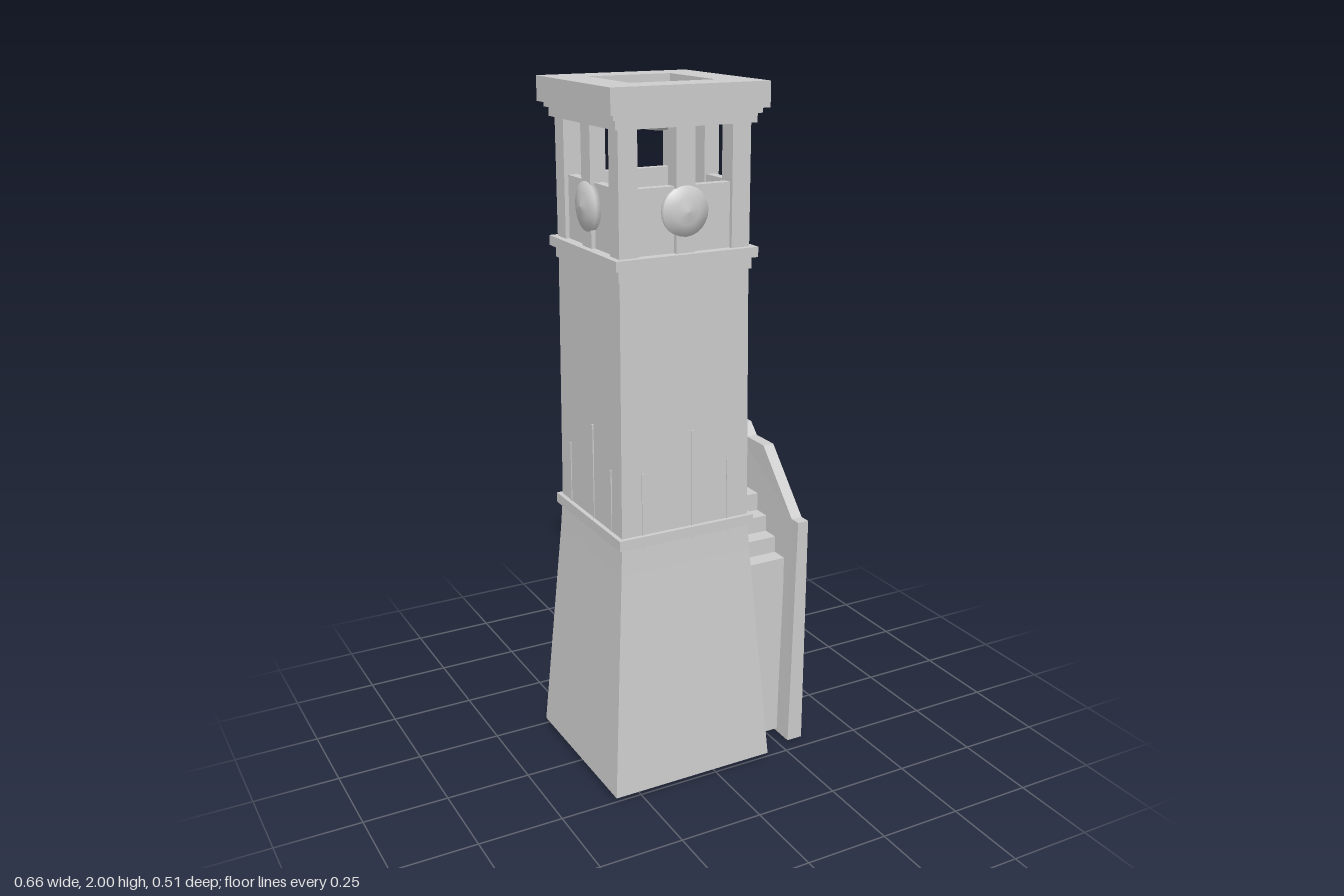
import * as THREE from 'three';

const stone = new THREE.MeshStandardMaterial({ color: 0xcccccc, side: THREE.DoubleSide });
stone.name = 'paleStone';

function add(parent, name, geometry) {
  const mesh = new THREE.Mesh(geometry, stone);
  mesh.name = name;
  parent.add(mesh);
  return mesh;
}

// Box given by its limits on each axis
function box(parent, name, x0, x1, y0, y1, z0, z1) {
  const g = new THREE.BoxGeometry(x1 - x0, y1 - y0, z1 - z0);
  g.translate((x0 + x1) / 2, (y0 + y1) / 2, (z0 + z1) / 2);
  return add(parent, name, g);
}

// Square section swept up a profile of [half width, height]
function squareLoft(profile) {
  const pts = profile.map(([h, y]) => new THREE.Vector2(h * Math.SQRT2, y));
  const g = new THREE.LatheGeometry(pts, 4, Math.PI / 4).toNonIndexed();
  g.computeVertexNormals();
  return g;
}

// Square slab with a square opening
function ring(parent, name, half, hole, y0, y1) {
  const square = (P, h) => {
    const p = new P();
    p.moveTo(-h, -h); p.lineTo(h, -h); p.lineTo(h, h); p.lineTo(-h, h); p.closePath();
    return p;
  };
  const s = square(THREE.Shape, half);
  s.holes.push(square(THREE.Path, hole));
  const g = new THREE.ExtrudeGeometry(s, { depth: y1 - y0, bevelEnabled: false });
  g.rotateX(-Math.PI / 2).translate(0, y0, 0);
  return add(parent, name, g);
}

function outline(points) {
  return new THREE.Shape(points.map(([x, y]) => new THREE.Vector2(x, y)));
}

function buildTower() {
  const tower = new THREE.Group();
  tower.name = 'tower';

  // Flared base and shaft, open underneath
  add(tower, 'shaft', squareLoft([[0.255, 0.015], [0.206, 0.68], [0.2, 0.78], [0.194, 1.54]]));
  const band = (name, h, y0, y1) => box(tower, name, -h, h, y0, y1, -h, h);
  ring(tower, 'lowerBand', 0.213, 0.19, 0.76, 0.79);
  band('upperBandFoot', 0.2, 1.505, 1.537);
  band('upperBand', 0.213, 1.537, 1.565);

  for (let i = 0; i < 4; i++) {
    const side = new THREE.Group();
    side.name = 'towerSide';
    side.rotation.y = i * Math.PI / 2;
    tower.add(side);

    // Thin ribs on the shaft
    for (const [x, y1] of [[-0.134, 0.97], [0.02, 1.07], [0.134, 0.97]])
      box(side, 'shaftRib', x - 0.004, x + 0.004, 0.7, y1, 0.19, 0.202);

    // Belfry posts and parapet
    box(side, 'cornerPost', -0.195, -0.14, 1.56, 1.9, 0.14, 0.195);
    box(side, 'middlePost', -0.028, 0.028, 1.56, 1.9, 0.15, 0.195);
    box(side, 'parapet', -0.145, 0.145, 1.56, 1.74, 0.155, 0.183);

    // Shallow domed disc
    const disc = new THREE.LatheGeometry(
      [[0, 0.175], [0.067, 0.175], [0.067, 0.197], [0.035, 0.206], [0, 0.213]]
        .map(([r, y]) => new THREE.Vector2(r, y)), 24);
    disc.rotateX(Math.PI / 2).translate(0, 1.675, 0);
    add(side, 'disc', disc);
  }

  // Stepped crown with a square opening
  ring(tower, 'crownFoot', 0.207, 0.125, 1.893, 1.918);
  ring(tower, 'crownNeck', 0.217, 0.125, 1.918, 1.932);
  ring(tower, 'crownSlab', 0.231, 0.125, 1.932, 2);

  // Two sagging troughs inside the opening
  const trough = new THREE.PlaneGeometry(0.25, 0.25, 8, 4).rotateX(-Math.PI / 2);
  const p = trough.attributes.position;
  for (let i = 0; i < p.count; i++) {
    const valley = Math.abs(Math.abs(p.getZ(i)) - 0.0625) < 0.01;
    p.setY(i, valley ? 1.897 - 0.028 * Math.cos(p.getX(i) * Math.PI / 0.25) : 1.918);
  }
  const folded = trough.toNonIndexed();
  folded.computeVertexNormals();
  add(tower, 'troughs', folded);

  // Ledge on the stair side
  box(tower, 'ledge', 0.18, 0.205, 1.145, 1.175, -0.165, 0.03);

  tower.position.x = -0.076;
  return tower;
}

function buildStair() {
  const stair = new THREE.Group();
  stair.name = 'stair';

  // Steps rising to the rear landing
  const steps = [[-0.152, -0.01, 0.75], [-0.01, 0.042, 0.695], [0.042, 0.095, 0.645], [0.095, 0.147, 0.595]];
  for (const [z0, z1, y] of steps) box(stair, 'step', 0.11, 0.29, 0.015, y, z0, z1);

  // Outer wall with a stepped, sloping top; its inner face leans outward
  const outer = new THREE.ExtrudeGeometry(outline([
    [-0.21, 0.005], [0.193, 0.005], [0.193, 0.945], [0.12, 0.945],
    [0.085, 0.91], [-0.01, 0.91], [-0.175, 0.73], [-0.21, 0.73],
  ]), { depth: 0.035, bevelEnabled: false });
  outer.rotateY(Math.PI / 2).translate(0.295, 0, 0);
  const p = outer.attributes.position;
  for (let i = 0; i < p.count; i++)
    if (p.getX(i) < 0.31) p.setX(i, 0.28 + 0.015 * Math.min(1, p.getY(i) / 0.73));
  outer.computeVertexNormals();
  add(stair, 'outerWall', outer);

  // Rear wall, raised where it meets the tower
  const rear = new THREE.ExtrudeGeometry(outline([
    [0.105, 0], [0.33, 0], [0.33, 0.945], [0.187, 0.945], [0.155, 0.985], [0.105, 0.985],
  ]), { depth: 0.042, bevelEnabled: false });
  rear.translate(0, 0, -0.193);
  add(stair, 'rearWall', rear);
  return stair;
}

export function createModel() {
  const model = new THREE.Group();
  model.name = 'bellTower';
  model.add(buildTower(), buildStair());
  return model;
}
